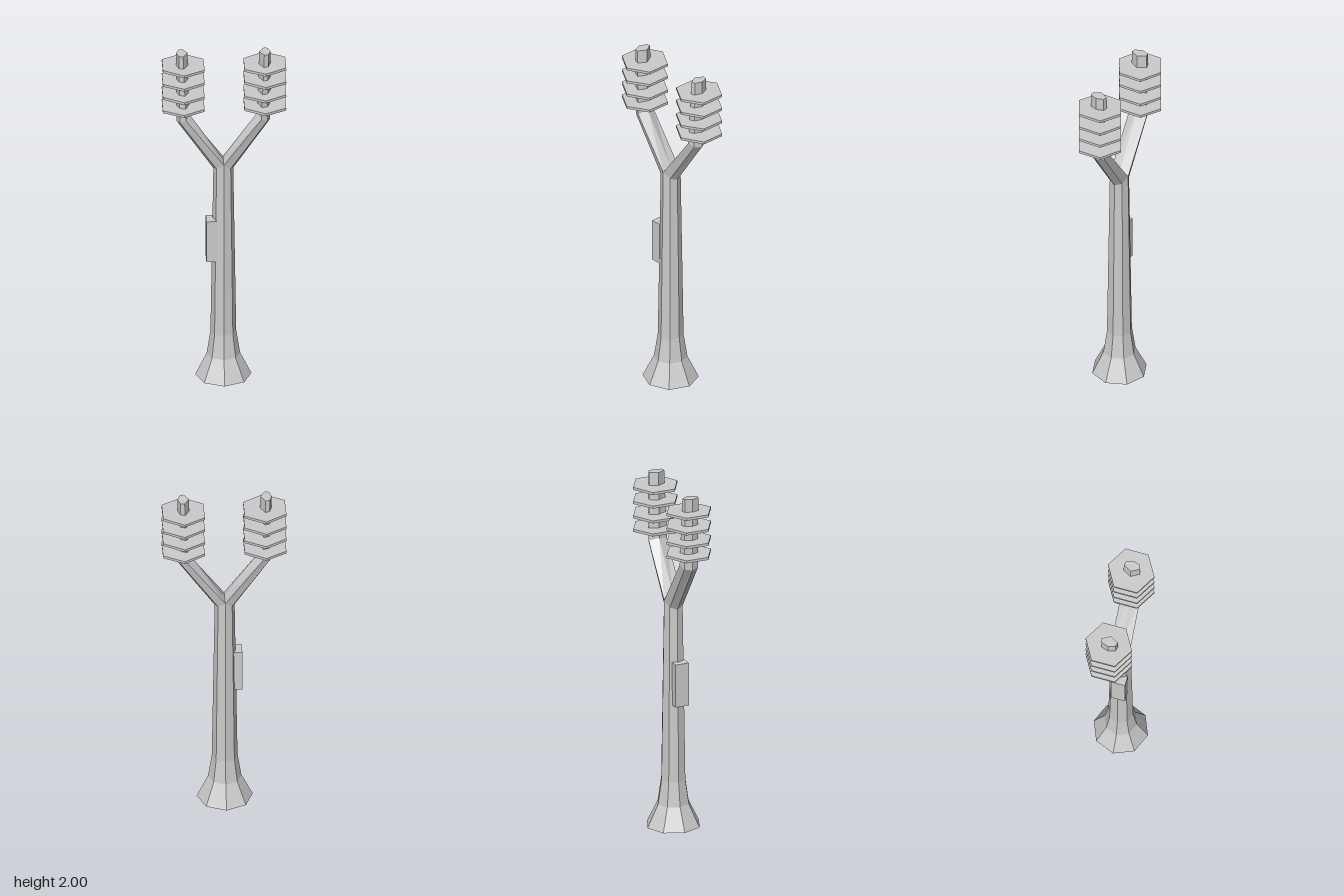
import * as THREE from 'three';

const grey = new THREE.MeshStandardMaterial({ color: 0xcccccc, flatShading: true });
const greyOpen = new THREE.MeshStandardMaterial({ color: 0xcccccc, flatShading: true, side: THREE.DoubleSide });

// Skins a stack of rings; each ring runs anticlockwise seen from above
function loft(rings, cap) {
  const n = rings[0].length;
  const index = [];
  for (let r = 0; r < rings.length - 1; r++) {
    for (let i = 0; i < n; i++) {
      const a = r * n + i, b = r * n + (i + 1) % n;
      index.push(a, b, b + n, a, b + n, a + n);
    }
  }
  if (cap) {
    const top = (rings.length - 1) * n;
    for (let i = 1; i < n - 1; i++) index.push(top, top + i, top + i + 1);
  }
  const geo = new THREE.BufferGeometry();
  geo.setAttribute('position', new THREE.Float32BufferAttribute(rings.flat(2), 3));
  geo.setIndex(index);
  const flat = geo.toNonIndexed();
  flat.computeVertexNormals();
  return flat;
}

function add(parent, name, geo, material = grey) {
  const mesh = new THREE.Mesh(geo, material);
  mesh.name = name;
  parent.add(mesh);
  return mesh;
}

// Octagonal ring with corners on the axes; slope lowers the sides of the fork
function octagon(radius, y, slope = 0) {
  return Array.from({ length: 8 }, (_, k) => {
    const t = k * Math.PI / 4;
    const x = Math.cos(t) * radius;
    return [x, y - Math.abs(x) * slope, -Math.sin(t) * radius];
  });
}

// Six-sided arm section given by its outer, shoulder, front and inner points
function armRing(side, outer, shoulder, front, inner) {
  const back = ([x, y, z]) => [x, y, -z];
  const ring = [outer, back(shoulder), back(front), inner, front, shoulder]
    .map(([x, y, z]) => [x * side, y, z]);
  return side > 0 ? ring : ring.reverse();
}

export function createModel() {
  const model = new THREE.Group();
  model.name = 'utilityPole';

  const structure = new THREE.Group();
  structure.name = 'poleStructure';
  structure.position.x = -0.004;
  model.add(structure);

  // Flared shaft, open underneath
  add(structure, 'shaft', loft([
    octagon(0.155, 0), octagon(0.092, 0.13), octagon(0.071, 0.27), octagon(0.055, 1.325, 0.8),
  ]), greyOpen);

  // Service box on the side of the shaft
  const box = add(structure, 'serviceBox', new THREE.BoxGeometry(0.06, 0.25, 0.08));
  box.position.set(-0.066, 0.848, 0.011);

  for (const side of [1, -1]) {
    const label = side > 0 ? 'left' : 'right';

    // Forked arm growing out of half the shaft
    add(structure, label + 'Arm', loft([
      armRing(side, [0.055, 1.281, 0], [0.039, 1.294, 0.039], [0, 1.325, 0.055], [0, 1.335, 0]),
      armRing(side, [0.258, 1.58, 0], [0.241, 1.588, 0.041], [0.208, 1.605, 0.055], [0.188, 1.62, 0]),
      armRing(side, [0.26, 2, 0], [0.247, 2, 0.04], [0.224, 2, 0.046], [0.197, 2, 0]),
    ], true));

    // Thin hexagonal insulator discs, very slightly tilted
    const discs = new THREE.Group();
    discs.name = label + 'Insulators';
    model.add(discs);
    [1.67, 1.75, 1.834, 1.917].forEach((y, i) => {
      const disc = add(discs, 'insulatorDisc', new THREE.CylinderGeometry(0.133, 0.133, 0.015, 6));
      disc.position.set(side * 0.225, y, -0.006);
      disc.rotation.z = side * (i % 2 ? 0.015 : -0.015);
    });
  }
  return model;
}
